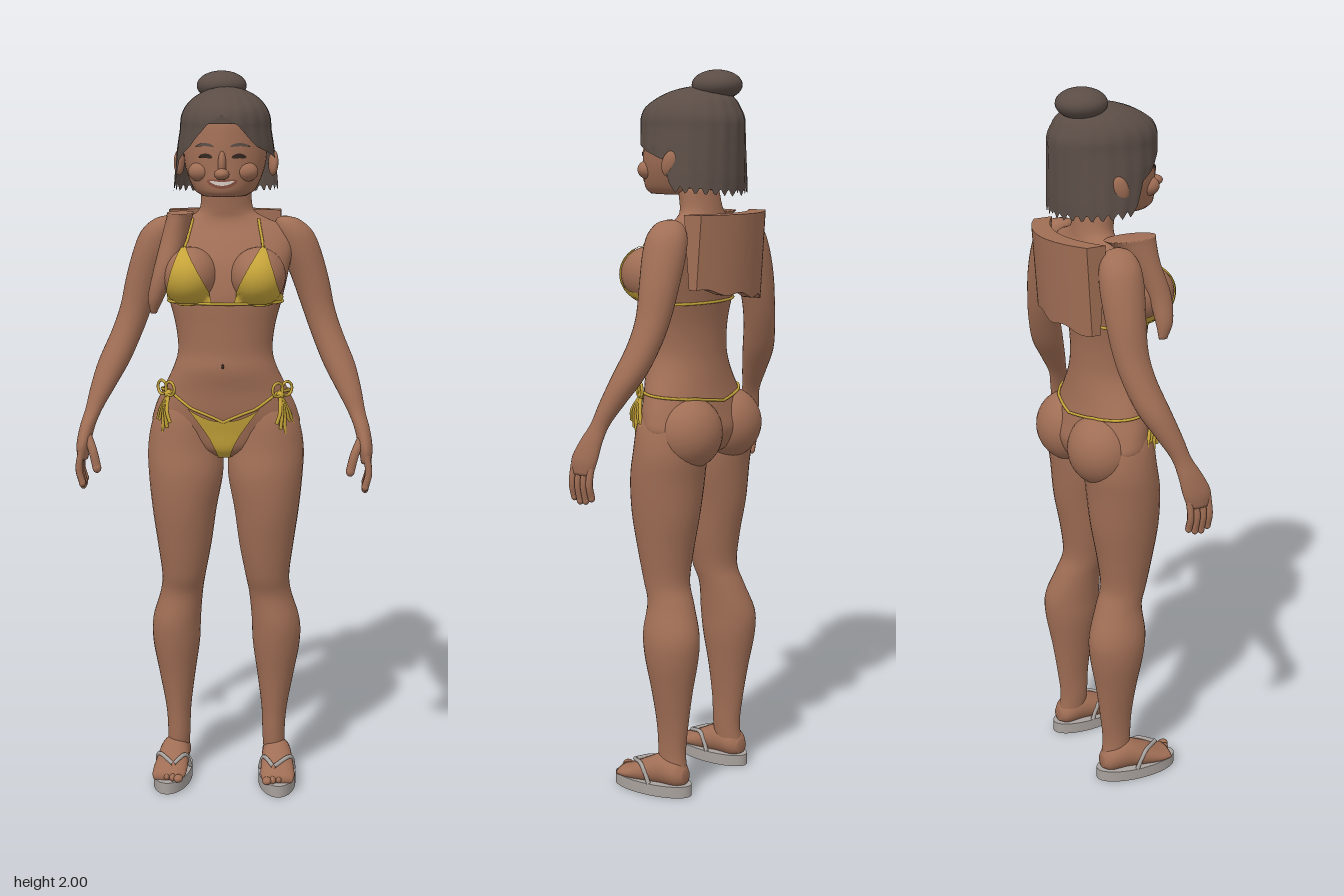
import * as THREE from 'three';
import { toCreasedNormals } from 'three/addons/utils/BufferGeometryUtils.js';

const V = (x, y, z) => new THREE.Vector3(x, y, z);
const material = (name, color, side = THREE.FrontSide) => {
  const m = new THREE.MeshStandardMaterial({ color, side });
  m.name = name;
  return m;
};

// Piecewise-linear lookup in [[key, value], ...]
function lookup(table, k) {
  for (let i = 1; i < table.length; i++) {
    const [a, va] = table[i - 1], [b, vb] = table[i];
    if (k <= b) return va + (vb - va) * Math.max(0, (k - a) / (b - a));
  }
  return table[table.length - 1][1];
}

// Surface from a function on a (u, v) grid
function gridGeometry(nu, nv, point) {
  const pos = [], idx = [];
  for (let i = 0; i <= nv; i++) for (let j = 0; j <= nu; j++) pos.push(...point(j / nu, i / nv));
  for (let i = 0; i < nv; i++) for (let j = 0; j < nu; j++) {
    const a = i * (nu + 1) + j, b = a + nu + 1;
    idx.push(a, a + 1, b + 1, a, b + 1, b);
  }
  const g = new THREE.BufferGeometry();
  g.setAttribute('position', new THREE.Float32BufferAttribute(pos, 3));
  g.setIndex(idx);
  g.computeVertexNormals();
  return g;
}

// Smooth closed loft through elliptical sections [y, cx, cz, halfWidth, halfDepth], y ascending
function loft(sections, seg = 32, perSpan = 5) {
  const mid = new THREE.CatmullRomCurve3(sections.map(s => V(s[1], s[0], s[2])), false, 'catmullrom', 0.5);
  const size = new THREE.CatmullRomCurve3(sections.map(s => V(s[3], s[4], 0)), false, 'catmullrom', 0.5);
  const rows = (sections.length - 1) * perSpan, pos = [], idx = [];
  for (let i = -1; i <= rows + 1; i++) {
    const t = Math.min(1, Math.max(0, i / rows)), c = mid.getPoint(t), r = size.getPoint(t);
    const k = i < 0 || i > rows ? 0 : 1;
    for (let j = 0; j < seg; j++) {
      const a = j / seg * Math.PI * 2;
      pos.push(c.x + k * r.x * Math.sin(a), c.y, c.z + k * r.y * Math.cos(a));
    }
  }
  for (let i = 0; i < rows + 2; i++) for (let j = 0; j < seg; j++) {
    const a = i * seg + j, b = i * seg + (j + 1) % seg;
    idx.push(a, b, b + seg, a, b + seg, a + seg);
  }
  const g = new THREE.BufferGeometry();
  g.setAttribute('position', new THREE.Float32BufferAttribute(pos, 3));
  g.setIndex(idx);
  g.computeVertexNormals();
  return g;
}

export function createModel() {
  const root = new THREE.Group();
  const skin = material('skin', 0xa06e55), hairMat = material('hair', 0x5b4d46, THREE.DoubleSide);
  const yellow = material('yellow fabric', 0xc6a43a, THREE.DoubleSide), grey = material('sandal grey', 0xa8a19d);
  const lip = material('lips', 0x87503f, THREE.DoubleSide), white = material('teeth', 0xd6ccc4, THREE.DoubleSide);
  const dark = material('dark detail', 0x33261f, THREE.DoubleSide);

  const add = (name, geo, mat, parent = root) => {
    const m = new THREE.Mesh(geo, mat);
    m.name = name;
    parent.add(m);
    return m;
  };
  const ball = (name, c, r, mat = skin, parent = root) => {
    const m = add(name, new THREE.SphereGeometry(1, 32, 24), mat, parent);
    m.position.set(...c);
    m.scale.set(...r);
    return m;
  };
  const tube = (name, pts, r, mat, parent = root, closed = false) => add(name, new THREE.TubeGeometry(
    new THREE.CatmullRomCurve3(pts.map(p => V(...p)), closed), closed ? 120 : 20, r, 8, closed), mat, parent);

  // Torso with neck
  const body = [add('torso', loft([
    [0.955, 0, 0, 0.05, 0.06], [0.98, 0, -0.005, 0.12, 0.09], [1.03, 0, -0.01, 0.2, 0.105],
    [1.08, 0, 0, 0.198, 0.105], [1.14, 0, 0.01, 0.172, 0.1], [1.2, 0, 0.02, 0.143, 0.1],
    [1.25, 0, 0.02, 0.13, 0.095], [1.32, 0, 0.02, 0.137, 0.095], [1.4, 0, 0.015, 0.158, 0.1],
    [1.48, 0, 0, 0.175, 0.095], [1.54, 0, -0.02, 0.185, 0.08], [1.58, 0, -0.03, 0.165, 0.062],
    [1.605, 0, -0.03, 0.11, 0.052], [1.63, 0, -0.026, 0.074, 0.05], [1.69, 0, -0.015, 0.068, 0.048],
  ], 48), skin)];

  for (const s of [1, -1]) {
    const side = s > 0 ? 'left' : 'right';
    body.push(ball(side + 'Bust', [s * 0.092, 1.455, 0.07], [0.075, 0.078, 0.095]));
    body.push(ball(side + 'Glute', [s * 0.097, 1.03, -0.05], [0.1, 0.1, 0.092]));

    // Leg
    body.push(add(side + 'Leg', loft([
      [0.05, 0.142, -0.03, 0.032, 0.042], [0.12, 0.137, -0.022, 0.032, 0.042], [0.2, 0.138, -0.024, 0.036, 0.048],
      [0.3, 0.141, -0.025, 0.051, 0.061], [0.4, 0.143, -0.025, 0.067, 0.079], [0.47, 0.141, -0.022, 0.068, 0.083],
      [0.55, 0.126, -0.01, 0.06, 0.067], [0.61, 0.118, 0.009, 0.062, 0.066], [0.7, 0.115, 0.014, 0.076, 0.08],
      [0.8, 0.115, 0.013, 0.09, 0.097], [0.9, 0.111, 0.01, 0.104, 0.103], [0.98, 0.113, 0, 0.104, 0.1],
      [1.06, 0.11, 0, 0.09, 0.09], [1.12, 0.1, 0, 0.06, 0.07],
    ].map(r => [r[0], s * r[1], r[2], r[3], r[4]])), skin));

    // Arm down to the palm
    add(side + 'Arm', loft([
      [0.95, 0.39, 0.085, 0.014, 0.032], [0.99, 0.388, 0.08, 0.019, 0.041], [1.04, 0.378, 0.064, 0.021, 0.034],
      [1.085, 0.362, 0.046, 0.024, 0.027], [1.14, 0.341, 0.022, 0.034, 0.035], [1.21, 0.312, -0.01, 0.044, 0.045],
      [1.29, 0.278, -0.036, 0.044, 0.046], [1.36, 0.253, -0.048, 0.045, 0.048], [1.44, 0.23, -0.05, 0.051, 0.054],
      [1.52, 0.202, -0.046, 0.056, 0.059], [1.57, 0.183, -0.042, 0.052, 0.054], [1.6, 0.168, -0.038, 0.033, 0.036],
      [1.61, 0.16, -0.036, 0.01, 0.012],
    ].map(r => [r[0], s * r[1], r[2], r[3], r[4]]), 24), skin);
    for (let i = 0; i < 4; i++) {
      const z = 0.056 + i * 0.019, end = 0.875 + Math.abs(i - 1.6) * 0.009;
      tube(side + 'Finger', [[s * 0.39, 0.975, z], [s * 0.397, 0.925, z + 0.002], [s * 0.388, end, z + 0.002]], 0.0095, skin);
      ball(side + 'FingerTip', [s * 0.388, end, z + 0.002], [0.0095, 0.012, 0.0095]);
    }
    tube(side + 'Thumb', [[s * 0.378, 1.02, 0.085], [s * 0.358, 0.975, 0.11], [s * 0.347, 0.93, 0.115]], 0.012, skin);
    ball(side + 'ThumbTip', [s * 0.347, 0.93, 0.115], [0.012, 0.014, 0.012]);

    // Foot and sandal
    const foot = new THREE.Group();
    foot.name = side + 'Foot';
    foot.position.set(s * 0.147, 0, 0);
    foot.rotation.y = s * 0.07;
    root.add(foot);
    const footGeo = loft([
      [-0.073, 0, -0.055, 0.02, 0.02], [-0.05, 0, -0.062, 0.038, 0.038], [0, 0, -0.068, 0.042, 0.045],
      [0.05, 0, -0.056, 0.046, 0.036], [0.1, 0, -0.044, 0.048, 0.022], [0.135, 0, -0.04, 0.042, 0.013],
    ]);
    footGeo.rotateX(Math.PI / 2);
    add(side + 'FootBody', footGeo, skin, foot);
    for (let i = 0; i < 5; i++)
      ball(side + 'Toe', [s * (-0.032 + i * 0.017), 0.042, 0.14 - i * 0.007], [i ? 0.009 : 0.013, 0.011, 0.016], skin, foot);
    const sole = add(side + 'Sole', new THREE.CylinderGeometry(1, 1, 0.033, 40), grey, foot);
    sole.scale.set(0.053, 1, 0.123);
    sole.position.set(0, 0.0165, 0.036);
    for (const k of [1, -1])
      tube(side + 'SandalStrap', [[k * 0.049, 0.032, 0.02], [k * 0.038, 0.078, 0.05], [-s * 0.012, 0.07, 0.105]], 0.006, grey, foot);
  }

  // Head
  const head = add('head', loft([
    [1.67, 0, 0.05, 0.06, 0.085], [1.69, 0, 0.038, 0.085, 0.11], [1.75, 0, 0.025, 0.108, 0.122],
    [1.82, 0, 0.008, 0.113, 0.135], [1.88, 0, 0.005, 0.1, 0.125], [1.92, 0, 0, 0.06, 0.08],
  ], 40), skin);
  ball('noseTip', [0, 1.73, 0.158], [0.02, 0.015, 0.026]);
  ball('noseBridge', [0, 1.755, 0.143], [0.011, 0.035, 0.02]);
  for (const s of [1, -1]) {
    ball('cheek', [s * 0.058, 1.735, 0.105], [0.035, 0.027, 0.033]);
    const ear = ball('ear', [s * 0.128, 1.755, -0.012], [0.013, 0.035, 0.022]);
    ear.rotation.set(-0.3, s * 0.3, 0);
  }

  // Hair: bob with a swept front hemline and ragged ends
  const hairSize = y => [
    lookup([[1.67, -0.014], [1.8, 0.003], [1.9, 0.004], [1.957, -0.02]], y),
    lookup([[1.67, 0.143], [1.72, 0.139], [1.8, 0.13], [1.85, 0.122]], y),
    lookup([[1.67, 0.128], [1.72, 0.137], [1.8, 0.148], [1.86, 0.15]], y),
  ];
  add('hair', gridGeometry(128, 28, (u, v) => {
    const a = (u * 2 - 1) * Math.PI, b = Math.abs(a), fall = a < 0 ? 1.25 : 1.65;
    const hem = lookup([[0, 1.882], [0.35, 1.855], [0.75, 1.8], [fall - 0.12, 1.765], [fall, 1.69], [3.2, 1.675]], b)
      + (b > fall ? 0.009 * Math.sin(b * 31) : 0);
    const t = Math.min(1, v * 2), crown = Math.sin(t * Math.PI / 2);
    const y = v < 0.5 ? 1.86 + 0.097 * Math.cos(t * Math.PI / 2) : 1.86 + (hem - 1.86) * (v * 2 - 1);
    const [cz, hw, hd] = hairSize(y), k = crown * (1 + 0.008 * Math.sin(a * 19));
    return [hw * k * Math.sin(a), y, cz + hd * k * Math.cos(a)];
  }), hairMat);
  ball('hairBun', [-0.016, 1.96, -0.065], [0.068, 0.04, 0.068], hairMat);
  ball('hairBunBase', [-0.01, 1.935, -0.06], [0.05, 0.03, 0.05], hairMat);

  // Curved panel hanging behind the shoulders, with an uneven lower edge
  const panel = new THREE.BoxGeometry(0.31, 1, 0.055, 24, 8, 2);
  const p = panel.attributes.position;
  for (let i = 0; i < p.count; i++) {
    const x = p.getX(i), h = p.getY(i) + 0.5;
    const low = 1.405 + x * 0.13 + 0.006 * Math.sin(x * 60);
    p.setXYZ(i, x - 0.008, low + (1.624 - low) * h, p.getZ(i) * (0.45 + 0.55 * h) - 0.157 + 2.4 * x * x);
  }
  add('backPanel', toCreasedNormals(panel, 0.7), skin);
  // Lock lying over the right shoulder
  add('shoulderLock', loft([
    [1.355, -0.19, 0.085, 0.008, 0.012], [1.4, -0.182, 0.092, 0.022, 0.024], [1.47, -0.16, 0.088, 0.03, 0.032],
    [1.55, -0.138, 0.06, 0.034, 0.04], [1.6, -0.126, 0.035, 0.035, 0.06], [1.622, -0.122, 0.02, 0.036, 0.075],
  ], 24), skin);

  // Cloth and face details laid onto the surface by ray casting
  root.updateMatrixWorld(true);
  const ray = new THREE.Raycaster();
  const cast = (from, dir, targets, lift) => {
    ray.set(from, dir);
    const hit = ray.intersectObjects(targets, false)[0];
    if (!hit) return null;
    const n = hit.face.normal.clone().transformDirection(hit.object.matrixWorld);
    return hit.point.addScaledVector(n, lift).toArray();
  };
  const front = (x, y, targets = body, lift = 0.005) =>
    cast(V(x, y, 1), V(0, 0, -1), targets, lift) || [x, y, 0.03];
  const around = (a, y, lift = 0.003) =>
    cast(V(Math.sin(a), y, Math.cos(a)), V(-Math.sin(a), 0, -Math.cos(a)), body, lift) || [0, y, 0];
  const oval = (name, cx, cy, rx, ry, bend, mat, lift = 0.003) => add(name, gridGeometry(12, 4, (u, v) => {
    const k = u * 2 - 1;
    return front(cx + rx * k, cy + ry * (v * 2 - 1) * Math.sqrt(1 - k * k) + bend * k * k, [head], lift);
  }), mat);

  oval('lips', 0, 1.704, 0.04, 0.012, 0.008, lip);
  oval('teeth', 0, 1.705, 0.031, 0.005, 0.007, white, 0.005);
  for (const s of [1, -1]) {
    oval('eye', s * 0.043, 1.777, 0.019, 0.006, -0.004, dark);
    oval('brow', s * 0.045, 1.806, 0.026, 0.004, -0.006, hairMat);
  }
  ball('navel', front(0, 1.215, body, -0.001), [0.004, 0.007, 0.003], dark);

  // Bikini top
  for (const s of [1, -1]) {
    add('bikiniCup', gridGeometry(16, 16, (u, v) => {
      const inner = 0.03 + 0.073 * Math.pow(v, 1.3), outer = 0.107 + 0.05 * Math.pow(1 - v, 0.7);
      return front(s * (inner + (outer - inner) * u), 1.388 + 0.147 * v);
    }), yellow);
    tube('bikiniStrap', [0, 1, 2, 3, 4].map(i => front(s * (0.105 - i * 0.004), 1.53 + i * 0.018, body, 0.003)), 0.004, yellow);
  }
  const loop = (n, yAt) => Array.from({ length: n }, (_, i) => {
    const a = (i / n * 2 - 1) * Math.PI;
    return around(a, yAt(Math.abs(a)));
  });
  tube('bikiniBand', loop(72, () => 1.384), 0.004, yellow, root, true);

  // Bikini bottom with side bows
  add('bikiniFront', gridGeometry(20, 14, (u, v) => {
    const k = u * 2 - 1, top = 1.062 + 0.034 * k * k;
    return front(k * (0.016 + 0.082 * Math.pow(v, 1.4)), 0.957 + (top - 0.957) * v);
  }), yellow);
  tube('bikiniString', loop(72, a => lookup([[0, 1.06], [0.74, 1.095], [1.17, 1.14], [3.2, 1.11]], a)), 0.004, yellow, root, true);
  for (const s of [1, -1]) {
    const k = around(s * 1.17, 1.13, 0.008);
    ball('bowKnot', k, [0.011, 0.011, 0.011], yellow);
    for (const d of [1, -1]) {
      const ring = add('bowLoop', new THREE.TorusGeometry(0.019, 0.004, 8, 20), yellow);
      ring.position.set(k[0] + s * 0.006 + d * 0.012, k[1] + 0.016, k[2] - s * d * 0.014);
      ring.rotation.y = s * 0.8;
    }
    for (let i = 0; i < 5; i++) {
      const o = (i - 2) * 0.011;
      tube('bowTail', [k, [k[0] + s * (0.012 + o * 0.5), k[1] - 0.045, k[2] + 0.008 - o],
        [k[0] + s * (0.014 + o), k[1] - 0.075 - (i % 3) * 0.016, k[2] + 0.004 - o * 1.5]], 0.005, yellow);
    }
  }
  return root;
}
